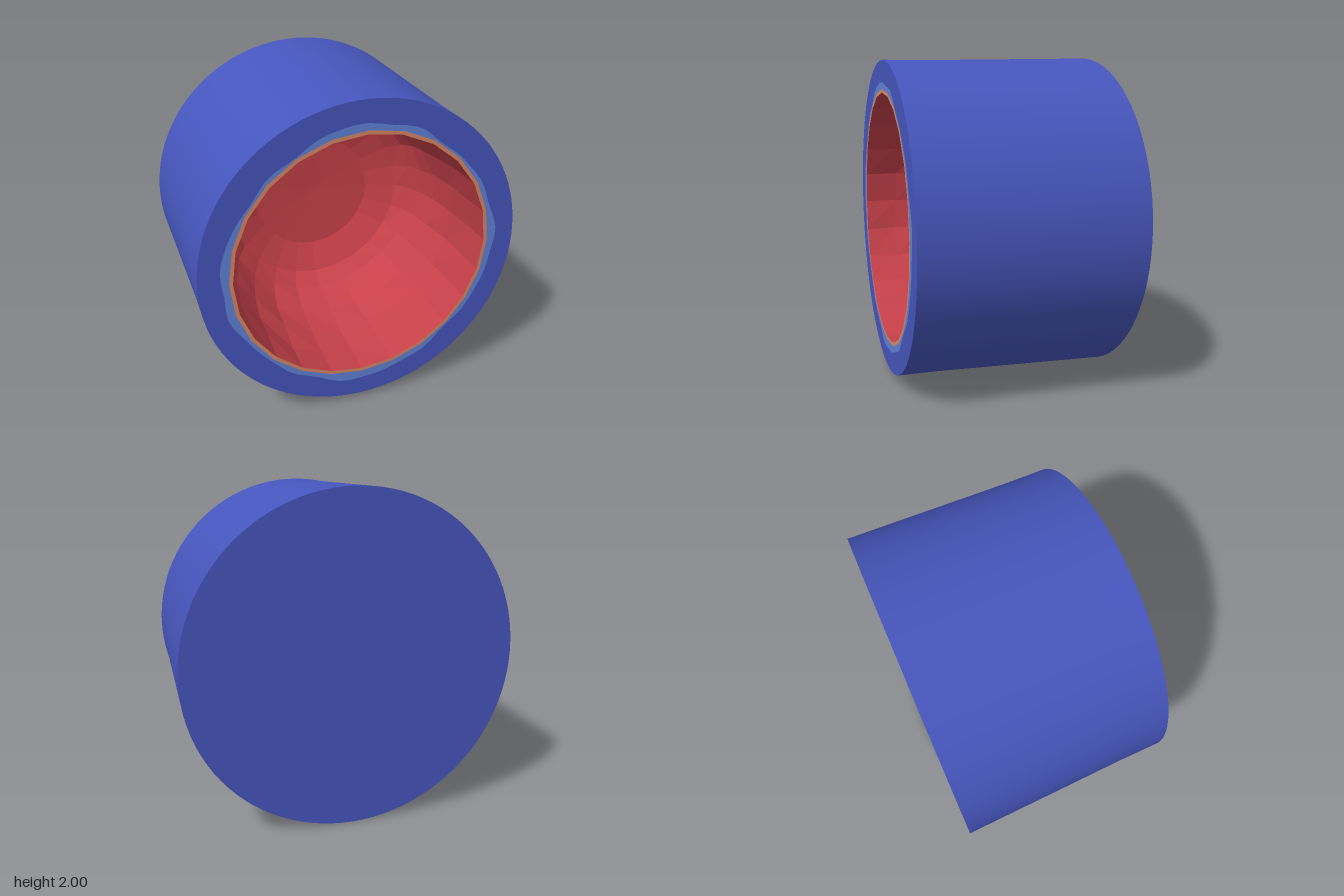
import * as THREE from 'three';

const FRONT = 0.655, BACK = -0.655, SIDES = 24;

// Closed outline around the axis from a radius rule
function ring(count, radius) {
  return Array.from({ length: count }, (_, i) => {
    const a = (i / count) * Math.PI * 2, r = radius(a);
    return new THREE.Vector2(r * Math.cos(a), r * Math.sin(a));
  });
}

// Flat front-facing band between two outlines
function band(outer, inner) {
  const shape = new THREE.Shape(outer);
  shape.holes.push(new THREE.Path(inner));
  return new THREE.ShapeGeometry(shape).translate(0, 0, FRONT);
}

// Profile of [radius, z] pairs revolved around the z axis
function revolve(profile, sides) {
  const points = profile.map(([r, z]) => new THREE.Vector2(r, z));
  return new THREE.LatheGeometry(points, sides).rotateX(Math.PI / 2);
}

export function createModel() {
  const group = new THREE.Group();
  const material = (name, color) => {
    const m = new THREE.MeshStandardMaterial({ color });
    m.name = name;
    return m;
  };
  const blue = material('blue', 0x4656bd);
  const paleBlue = material('pale blue', 0x6083d8);
  const orange = material('orange', 0xd98865);
  const red = material('red', 0xc8414a);
  const add = (name, geometry, mat) => {
    const mesh = new THREE.Mesh(geometry, mat);
    mesh.name = name;
    mesh.position.y = 1;
    group.add(mesh);
  };

  // Slightly tapered outer wall and closed back
  add('outerWall', revolve([[1, BACK], [0.972, 0.4], [0.97, FRONT]], 96), blue);
  add('backFace', new THREE.CircleGeometry(1, 96).rotateY(Math.PI).translate(0, 0, BACK), blue);

  // Front rim: plain band, wavy pale halo, thin edge around the opening
  const halo = ring(72, a => 0.827 + 0.016 * Math.cos(4 * a) + 0.007 * Math.sin(11 * a + 1)
    + 0.005 * Math.sin(17 * a) - 0.006 * Math.sin(a));
  const edge = ring(SIDES, () => 0.797);
  const opening = ring(SIDES, () => 0.775);
  add('frontRim', band(ring(96, () => 0.97), halo), blue);
  add('rimHalo', band(halo, edge), paleBlue);
  add('openingEdge', band(edge, opening), orange);

  // Faceted, slightly uneven bowl, its profile running from the rim down to the floor
  const cavity = revolve([[0.775, FRONT], [0.775, 0.45], [0.765, 0.25], [0.74, 0.05],
    [0.71, -0.07], [0.67, -0.17], [0.59, -0.26], [0.4, -0.34], [0, -0.36]], SIDES);
  const p = cavity.attributes.position;
  for (let i = 0; i < p.count; i++) {
    const x = p.getX(i), y = p.getY(i), z = p.getZ(i), a = Math.atan2(y, x);
    if (z > 0.6 || z < -0.25) continue;
    const s = 1 + 0.008 * Math.sin(5 * a + z * 9) + 0.006 * Math.cos(9 * a - z * 14);
    p.setXYZ(i, x * s, y * s, z + 0.015 * Math.sin(7 * a + z * 5));
  }
  const faceted = cavity.toNonIndexed();
  faceted.computeVertexNormals();
  add('cavity', faceted, red);

  return group;
}
